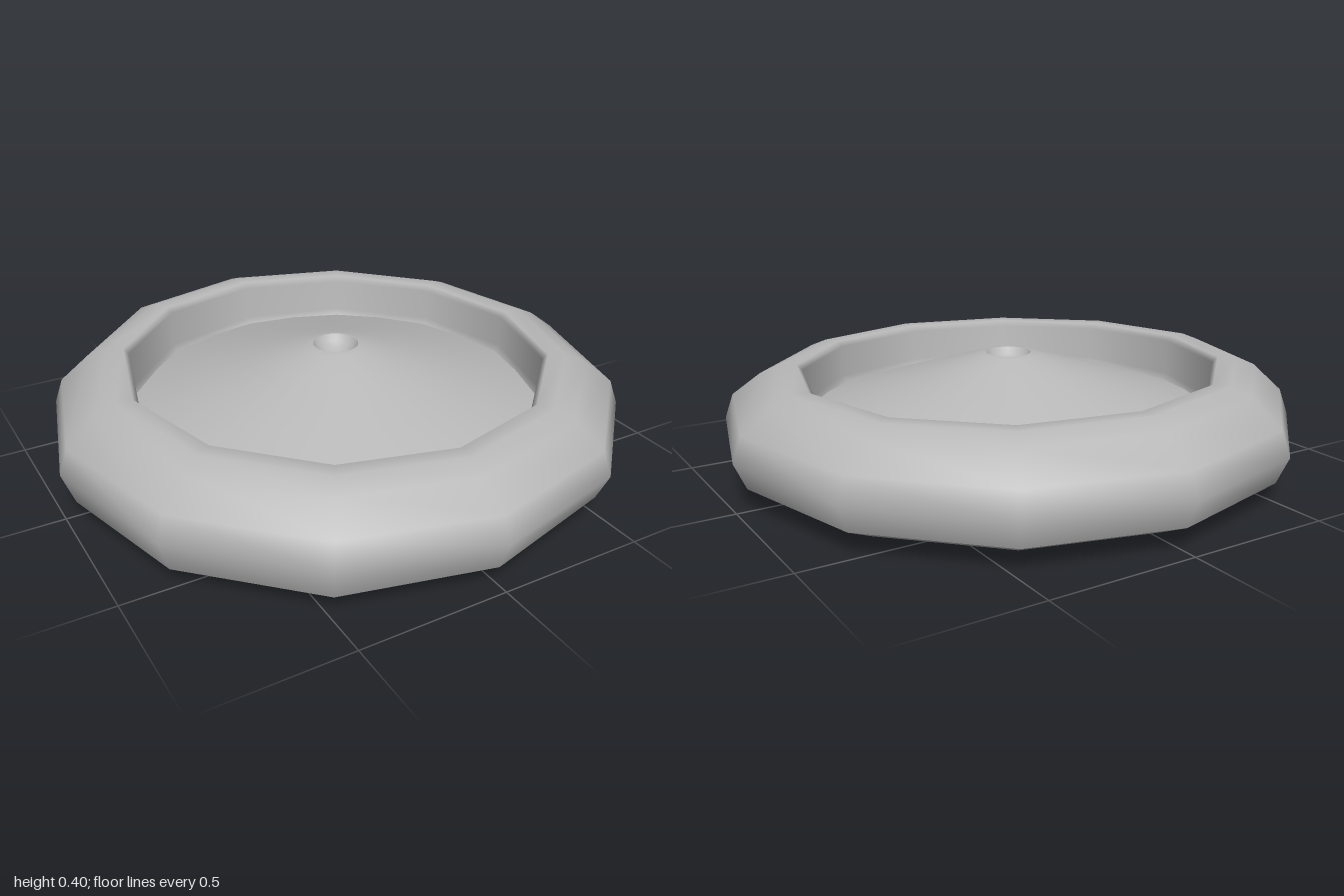
import * as THREE from 'three';

const SIDES = 12;
const profile = (pts) => pts.map(([r, y]) => new THREE.Vector2(r, y));

// Slight hand-made unevenness: top swells at the back, underside sags at the front, both on the -x side
function warp(geometry) {
  const p = geometry.attributes.position;
  for (let i = 0; i < p.count; i++) {
    const x = p.getX(i), y = p.getY(i), z = p.getZ(i);
    const back = Math.max(0, -0.75 * x - 0.65 * z);
    const sag = Math.max(0, -0.9 * x + 0.45 * z);
    if (y > 0.3) p.setY(i, y + 0.018 * Math.min(1, back * 1.3));
    else if (y < 0.1) p.setY(i, y - 0.022 * Math.min(1, sag * 1.15));
  }
  return geometry;
}

export function createModel() {
  const group = new THREE.Group();
  const grey = new THREE.MeshStandardMaterial({ color: 0xb8b8b8 });
  grey.name = 'stone grey';

  const add = (name, geometry) => {
    const mesh = new THREE.Mesh(geometry, grey);
    mesh.name = name;
    group.add(mesh);
  };

  // Fat rounded rim with a steep inner wall
  add('rim', warp(new THREE.LatheGeometry(profile([
    [0.96, 0.075], [1, 0.165], [0.97, 0.25], [0.87, 0.325], [0.8, 0.354],
    [0.74, 0.354], [0.722, 0.335], [0.722, 0.22], [0.7, 0.185], [0.66, 0.16],
  ]), SIDES)));

  // Closed underside with a bevelled edge
  add('underside', warp(new THREE.LatheGeometry(profile([
    [0, 0.022], [0.6, 0.022], [0.85, 0.022], [0.96, 0.075],
  ]), SIDES)));

  // Conical floor rising to the middle
  add('floor', new THREE.LatheGeometry(profile([
    [0.73, 0.19], [0.45, 0.282], [0.2, 0.362], [0.1, 0.393], [0.078, 0.396],
  ]), SIDES * 2));

  // Small bowl in the peak of the floor
  add('centreDimple', new THREE.LatheGeometry(profile([
    [0.078, 0.396], [0.065, 0.375], [0.04, 0.355], [0, 0.347],
  ]), SIDES * 2));

  return group;
}
